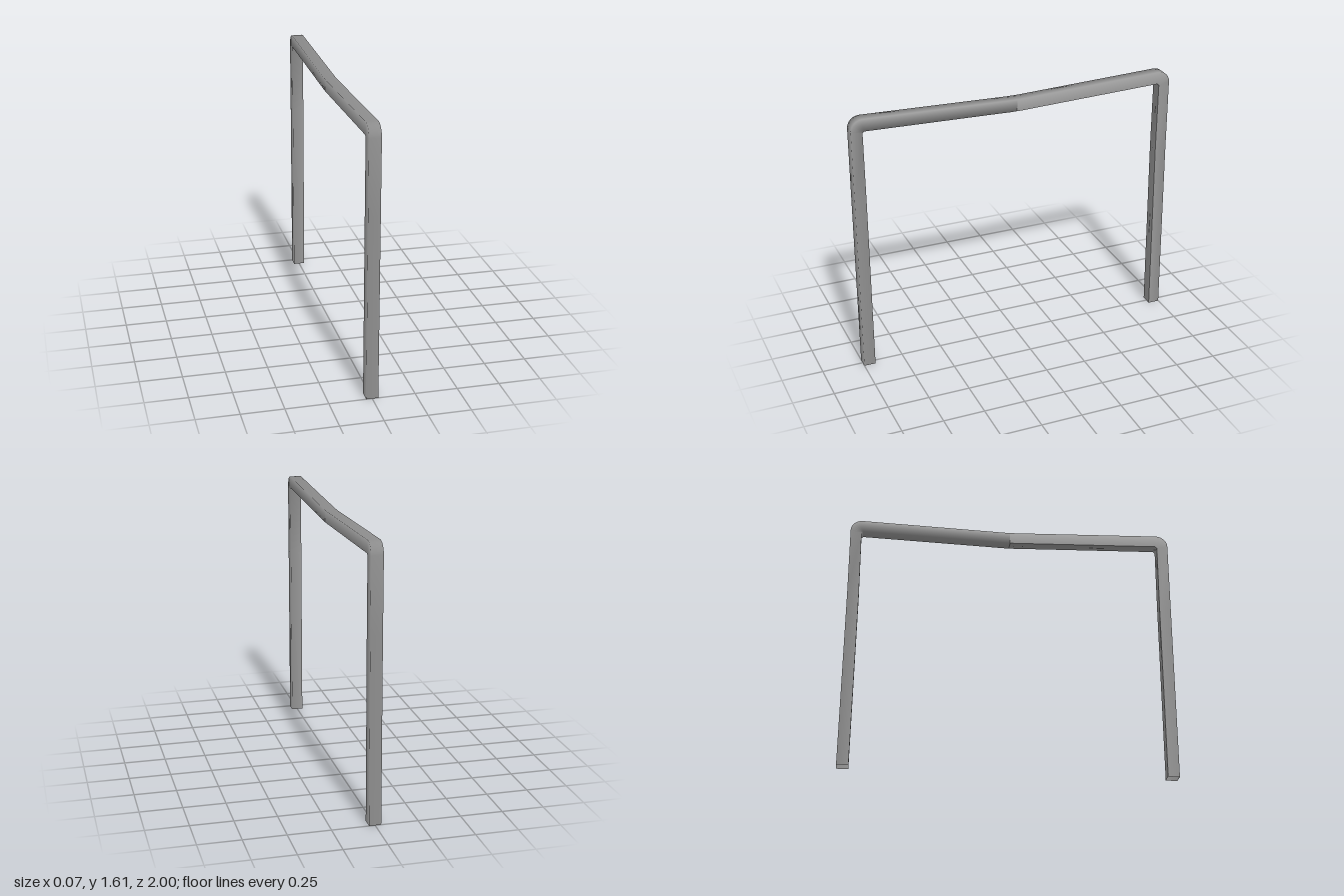
import * as THREE from 'three';

const HALF = 0.035; // half the width of the square bar

// Cross-sections from the foot to the middle of the top bar: [outer z, outer y, inner z, inner y].
// The leg leans inwards by the given amount.
function halfSections(lean) {
  const s = [[1, 0, 0.93, 0], [1 - lean, 1.1, 0.93 - lean, 1.1]];
  // bend: the outside is rounded, the inside is a tight corner
  for (let i = 0; i <= 6; i++) {
    const t = i / 6, a = t * Math.PI / 2;
    s.push([
      0.93 - lean + 0.07 * Math.cos(a), 1.538 + 0.07 * Math.sin(a),
      0.932 - lean - 0.012 * t, 1.524 + 0.01 * t,
    ]);
  }
  // top bar with a shallow sag in the middle
  for (const [z, y] of [[0.12, 1.581], [0.04, 1.578], [0, 1.578]]) s.push([z, y, z, y - 0.072]);
  return s;
}

// Square tube through the sections: smooth corners, with one sharp seam on an inner corner
function squareTube(sections) {
  const pos = [], normal = [], index = [];
  const n = new THREE.Vector3();
  sections.forEach(([oz, oy, iz, iy], row) => {
    const out = new THREE.Vector2(oz - iz, oy - iy).normalize();
    // each corner: side of x, 1 outer or -1 inner, and its normal's share across and outwards
    const corners = [[-1, -1, -1, 0], [-1, 1, -1, 1], [1, 1, 1, 1], [1, -1, 1, -1], [-1, -1, 0, -1]];
    for (const [side, layer, across, outwards] of corners) {
      pos.push(side * HALF, layer > 0 ? oy : iy, layer > 0 ? oz : iz);
      n.set(across, out.y * outwards, out.x * outwards).normalize();
      normal.push(n.x, n.y, n.z);
    }
    if (row === 0) return;
    for (let k = 0; k < 4; k++) {
      const b = row * 5 + k, a = b - 5;
      index.push(a, a + 1, b + 1, a, b + 1, b);
    }
  });
  const g = new THREE.BufferGeometry();
  g.setAttribute('position', new THREE.Float32BufferAttribute(pos, 3));
  g.setAttribute('normal', new THREE.Float32BufferAttribute(normal, 3));
  g.setIndex(index);
  return g;
}

export function createModel() {
  const group = new THREE.Group();
  group.name = 'archFrame';
  // open-ended tube, so the inside shows at the feet
  const material = new THREE.MeshStandardMaterial({ color: 0x999999, side: THREE.DoubleSide });

  // the back half is the front half turned around, with a slightly leaning leg
  for (const [name, lean, turn] of [['frontHalf', 0, 0], ['backHalf', 0.009, Math.PI]]) {
    const half = new THREE.Mesh(squareTube(halfSections(lean)), material);
    half.name = name;
    half.rotation.y = turn;
    group.add(half);
  }
  return group;
}
